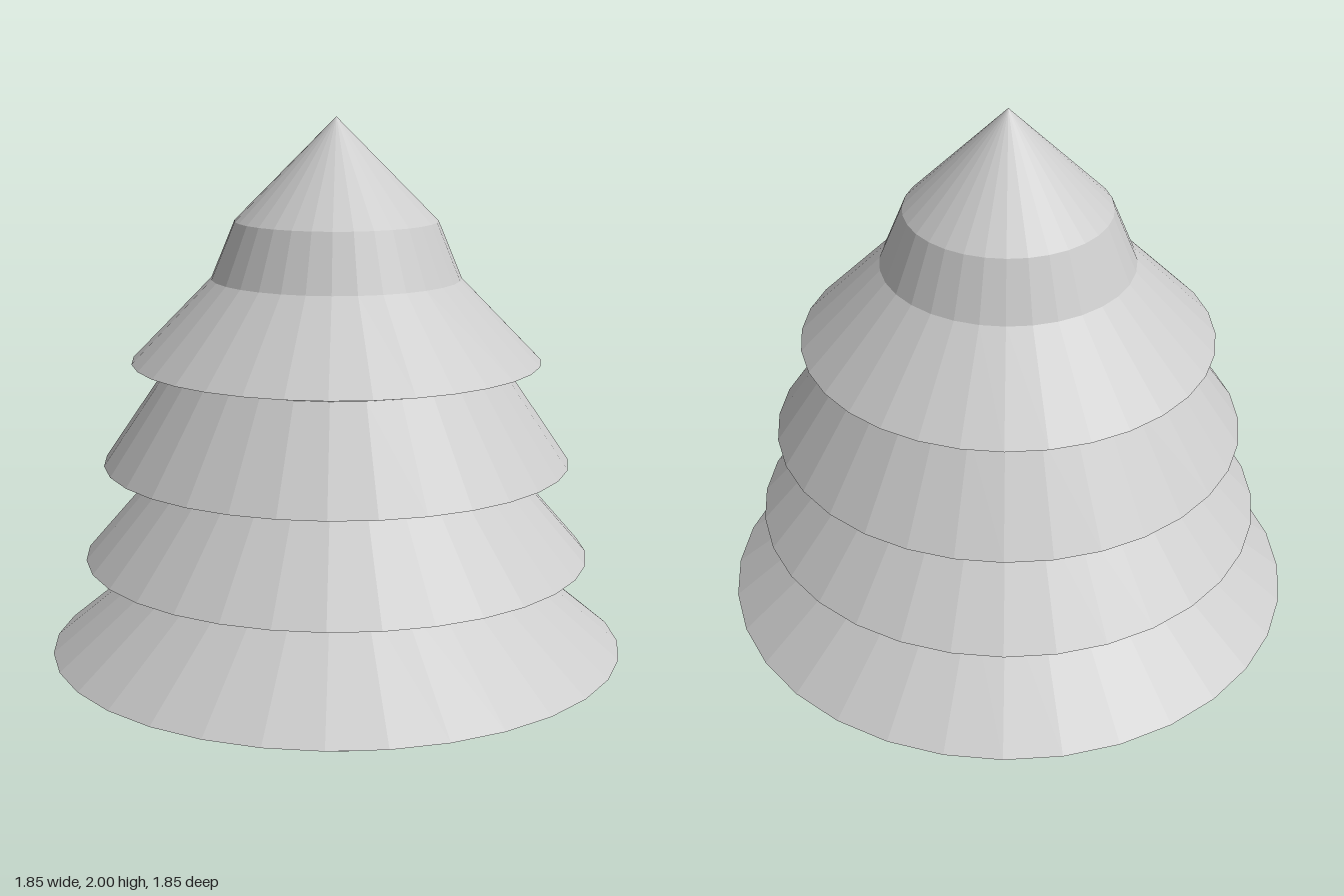
import * as THREE from 'three';

const SIDES = 32;

export function createModel() {
  const tree = new THREE.Group();
  tree.name = 'tree';
  const material = new THREE.MeshStandardMaterial({ color: 0xcccccc, flatShading: true });

  // Closed faceted solid turned around y; profile is [radius, height] from bottom to top
  function turned(name, profile) {
    const points = profile.map(([r, y]) => new THREE.Vector2(r, y));
    const mesh = new THREE.Mesh(new THREE.LatheGeometry(points, SIDES), material);
    mesh.name = name;
    tree.add(mesh);
  }

  turned('trunk', [[0, 0], [0.245, 0], [0.245, 0.32], [0, 0.32]]);

  // Skirts of branches, each tucked under the one above
  turned('bottomBranches', [[0, 0.29], [0.5, 0.295], [0.925, 0.3], [0.55, 0.612], [0, 0.612]]);
  turned('lowerBranches', [[0, 0.608], [0.81, 0.608], [0.54, 0.918], [0, 0.918]]);
  turned('upperBranches', [[0, 0.915], [0.745, 0.915], [0.54, 1.215], [0.3, 1.238], [0, 1.242]]);

  // Crown with a steep waist below the pointed tip
  turned('crown', [[0, 1.24], [0.65, 1.24], [0.395, 1.5], [0.32, 1.68], [0, 2]]);

  return tree;
}
